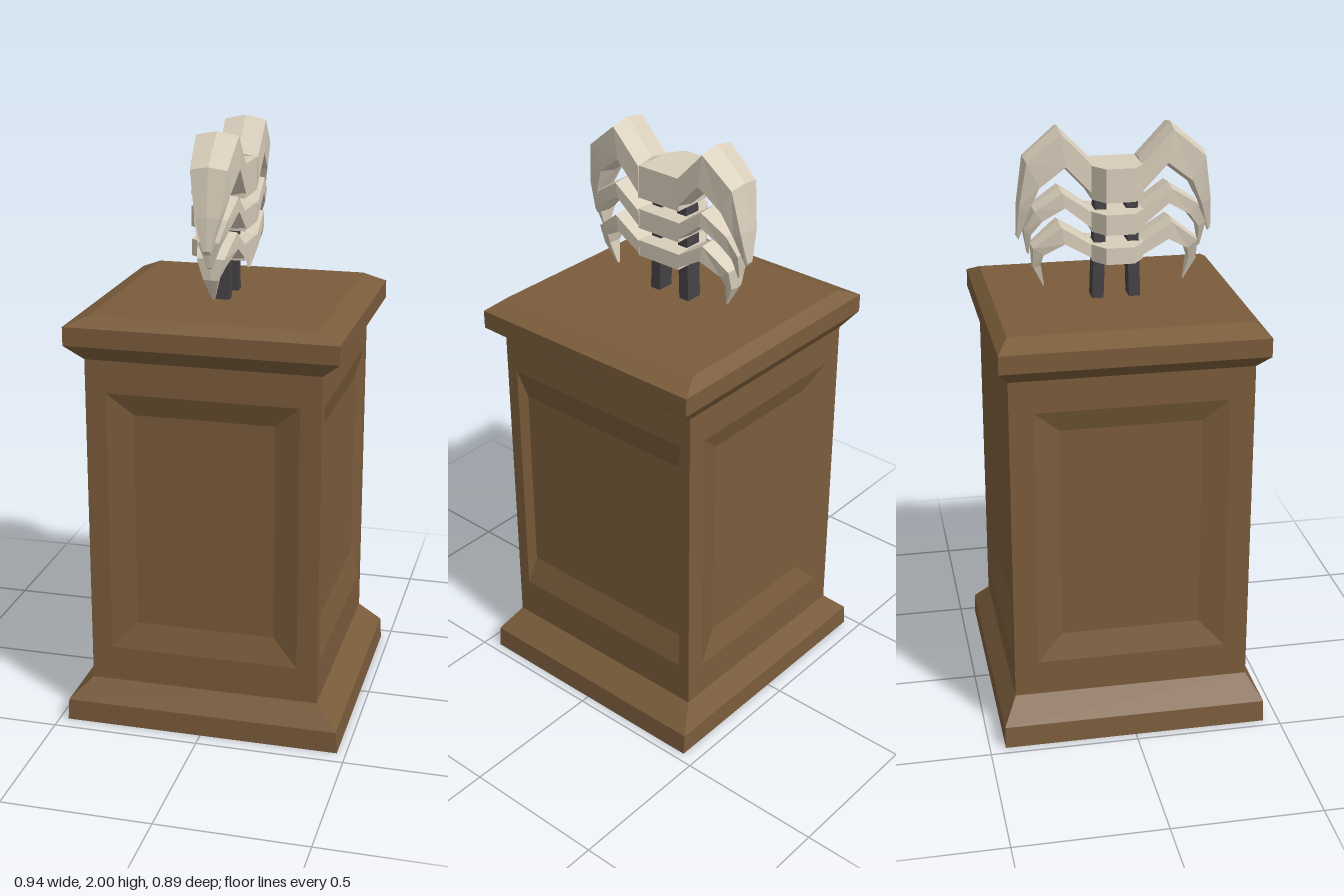
import * as THREE from 'three';

const wood = new THREE.MeshStandardMaterial({ name: 'brown wood', color: 0x7a5c3b, flatShading: true });
const bone = new THREE.MeshStandardMaterial({ name: 'pale bone', color: 0xd8cdba, flatShading: true });
const iron = new THREE.MeshStandardMaterial({ name: 'dark iron', color: 0x454246, flatShading: true });

// Skins matching rings of points; rings run counter-clockwise seen from the end of the loft
function loft(rings, capStart = true, capEnd = true) {
  const pos = [];
  const tri = (...pts) => pts.forEach((p) => pos.push(...p));
  for (let r = 0; r < rings.length - 1; r++) {
    const a = rings[r], b = rings[r + 1], n = a.length;
    for (let i = 0; i < n; i++) {
      const j = (i + 1) % n;
      tri(a[i], a[j], b[j]);
      tri(a[i], b[j], b[i]);
    }
  }
  const first = rings[0], last = rings[rings.length - 1];
  for (let i = 1; i < first.length - 1; i++) {
    if (capStart) tri(first[0], first[i + 1], first[i]);
    if (capEnd) tri(last[0], last[i], last[i + 1]);
  }
  const g = new THREE.BufferGeometry();
  g.setAttribute('position', new THREE.Float32BufferAttribute(pos, 3));
  g.computeVertexNormals();
  return g;
}

function add(parent, name, geometry, material) {
  const m = new THREE.Mesh(geometry, material);
  m.name = name;
  parent.add(m);
  return m;
}

// Horizontal rectangle with half sizes x, z
const slab = ([y, x, z]) => [[x, y, z], [x, y, -z], [-x, y, -z], [-x, y, z]];
// Upright rectangle facing +z
const pane = (w, y0, y1, z) => [[-w, y0, z], [w, y0, z], [w, y1, z], [-w, y1, z]];

function pedestal() {
  const g = new THREE.Group();
  g.name = 'pedestal';
  add(g, 'plinth', loft([[0, 0.47, 0.447], [0.075, 0.465, 0.447], [0.15, 0.39, 0.4]].map(slab)), wood);
  add(g, 'cap', loft([[1.285, 0.39, 0.4], [1.335, 0.45, 0.435], [1.397, 0.45, 0.435], [1.43, 0.373, 0.397]].map(slab)), wood);

  // Four shaft faces, each with a sunken panel
  const y0 = 0.15, y1 = 1.285;
  const faces = [
    // name, turn, half width, distance, opening [w, y0, y1], floor [w, y0, y1]
    ['frontPanel', 0, 0.39, 0.4, [0.32, 0.27, 1.175], [0.235, 0.36, 1.1]],
    ['leftPanel', Math.PI / 2, 0.4, 0.39, [0.357, 0.29, 1.17], [0.336, 0.395, 1.07]],
    ['backPanel', Math.PI, 0.39, 0.4, [0.32, 0.27, 1.175], [0.235, 0.36, 1.1]],
    ['rightPanel', -Math.PI / 2, 0.4, 0.39, [0.32, 0.27, 1.175], [0.235, 0.36, 1.1]],
  ];
  for (const [name, turn, w, d, open, floor] of faces) {
    const rings = [pane(w, y0, y1, d), pane(...open, d), pane(...floor, d - 0.025)];
    add(g, name, loft(rings, false, true), wood).rotation.y = turn;
  }
  return g;
}

// Rib section: ridged top and bottom, straight flanks
function ribRing([zt, yt, zb, yb, w]) {
  const at = (x, t) => [x, yt + (yb - yt) * t, zt + (zb - zt) * t];
  return [at(0, 0), at(-w, 0.1), at(-w, 0.88), at(0, 1), at(w, 0.88), at(w, 0.1)];
}

// Outline of a backbone segment seen from above, [x, z]
const SEGMENT = [[0.065, 0.085], [0.065, -0.085], [-0.07, -0.085], [-0.125, -0.047], [-0.125, 0.047], [-0.07, 0.085]];

function ribCage() {
  const g = new THREE.Group();
  g.name = 'ribCage';
  g.position.z = 0.01;
  const layers = [
    { name: 'upper', low: 1.77, high: 1.88, rib: [
      // top z, top y, bottom z, bottom y, half width
      [0.08, 1.89, 0.08, 1.77, 0.068], [0.185, 2.0, 0.165, 1.862, 0.07], [0.298, 1.905, 0.245, 1.8, 0.06],
      [0.32, 1.75, 0.282, 1.73, 0.04], [0.325, 1.645, 0.315, 1.63, 0.012]] },
    { name: 'middle', low: 1.663, high: 1.73, rib: [
      [0.08, 1.73, 0.08, 1.663, 0.068], [0.18, 1.8, 0.17, 1.737, 0.068], [0.272, 1.74, 0.24, 1.695, 0.055],
      [0.305, 1.67, 0.275, 1.65, 0.035], [0.29, 1.585, 0.283, 1.58, 0.008]] },
    { name: 'lower', low: 1.565, high: 1.62, rib: [
      [0.08, 1.62, 0.08, 1.565, 0.066], [0.185, 1.687, 0.17, 1.615, 0.065], [0.278, 1.612, 0.235, 1.58, 0.045],
      [0.275, 1.54, 0.245, 1.545, 0.025], [0.237, 1.468, 0.233, 1.468, 0.004]] },
  ];
  for (const { name, low, high, rib } of layers) {
    const rings = [low, high].map((y) => SEGMENT.map(([x, z]) => [x, y, z]));
    add(g, name + 'Vertebra', loft(rings), bone);
    const geometry = loft(rib.map(ribRing));
    add(g, name + 'FrontRib', geometry, bone);
    add(g, name + 'BackRib', geometry, bone).rotation.y = Math.PI;
  }
  // Two posts leaning slightly together
  for (const s of [-1, 1]) {
    const ring = (y, z) => [[0.01, y, z + 0.019], [0.01, y, z - 0.019], [-0.05, y, z - 0.019], [-0.05, y, z + 0.019]];
    add(g, s > 0 ? 'frontPost' : 'backPost', loft([ring(1.425, s * 0.062), ring(1.79, s * 0.05)]), iron);
  }
  return g;
}

export function createModel() {
  const model = new THREE.Group();
  model.name = 'ribCageOnPedestal';
  model.add(pedestal(), ribCage());
  return model;
}
